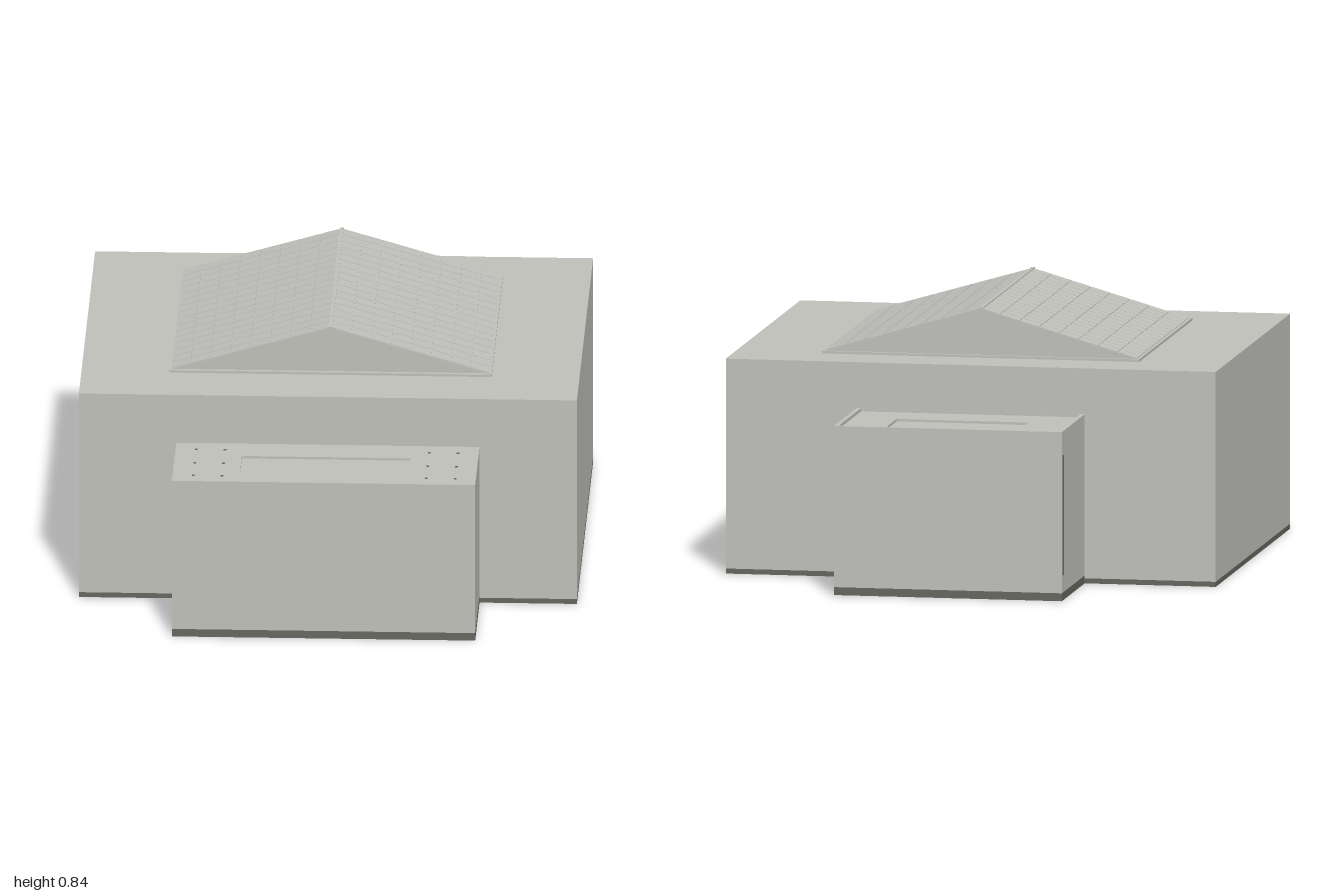
import * as THREE from 'three';

const wall = new THREE.MeshStandardMaterial({ color: 0xbfc0ba });
wall.name = 'pale grey';
const base = new THREE.MeshStandardMaterial({ color: 0x66665f });
base.name = 'dark grey';

// Box given by its limits on each axis
function block(parent, name, [x0, x1], [y0, y1], [z0, z1], material = wall) {
  const mesh = new THREE.Mesh(new THREE.BoxGeometry(x1 - x0, y1 - y0, z1 - z0), material);
  mesh.position.set((x0 + x1) / 2, (y0 + y1) / 2, (z0 + z1) / 2);
  mesh.name = name;
  parent.add(mesh);
  return mesh;
}

// Flat slab with a rectangular opening, lying on y
function openSlab(parent, name, x, z, hx, hz, y, thickness) {
  const rect = (Type, a, b) => {
    const s = new Type();
    s.moveTo(-a, -b[1]).lineTo(a, -b[1]).lineTo(a, -b[0]).lineTo(-a, -b[0]).closePath();
    return s;
  };
  const shape = rect(THREE.Shape, x, z);
  shape.holes.push(rect(THREE.Path, hx, hz));
  const geo = new THREE.ExtrudeGeometry(shape, { depth: thickness, bevelEnabled: false });
  geo.rotateX(-Math.PI / 2);
  const mesh = new THREE.Mesh(geo, wall);
  mesh.position.y = y;
  mesh.name = name;
  parent.add(mesh);
}

// Low wing with a plinth and a shallow tray sunk into its top
function wing(name, half, z, height, plinth, tray) {
  const g = new THREE.Group();
  g.name = name;
  const lid = 0.008;
  block(g, name + 'Plinth', [-half, half], [0, plinth], z, base);
  block(g, name + 'Walls', [-half, half], [plinth, height - lid], z);
  openSlab(g, name + 'Top', half, z, tray.half, tray.z, height - lid, lid);
  return g;
}

export function createModel() {
  const model = new THREE.Group();
  model.name = 'building';

  // Main hall
  const hall = new THREE.Group();
  hall.name = 'mainHall';
  block(hall, 'hallPlinth', [-0.78, 0.78], [0, 0.016], [-0.61, 0.66], base);
  block(hall, 'hallWalls', [-0.78, 0.78], [0.016, 0.68], [-0.61, 0.66]);
  model.add(hall);

  // Front and back wings
  const front = wing('frontWing', 0.475, [0.66, 1], 0.52, 0.025, { half: 0.265, z: [0.77, 0.91] });
  const back = wing('backWing', 0.363, [-1, -0.61], 0.525, 0.025, { half: 0.21, z: [-0.92, -0.75] });
  model.add(front, back);

  // Rim around the back wing's top
  openSlab(back, 'backRim', 0.363, [-1, -0.61], 0.349, [-0.986, -0.611], 0.525, 0.01);
  // Narrow upright seam on the back wing's right side
  block(back, 'sideSeam', [-0.365, -0.36], [0.08, 0.46], [-0.985, -0.978], base);

  // Bolts near the corners of the front wing's top
  for (const sx of [-1, 1]) for (const x of [0.32, 0.41]) for (const z of [0.72, 0.84, 0.95]) {
    block(front, 'bolt', [sx * x - 0.004, sx * x + 0.004], [0.52, 0.522], [z - 0.004, z + 0.004], base);
  }

  // Gabled skylight on the hall roof
  const roof = new THREE.Group();
  roof.name = 'skylight';
  block(roof, 'skylightCurb', [-0.505, 0.505], [0.68, 0.688], [-0.445, 0.462]);
  const eave = 0.498, low = 0.688, ridge = 0.833;
  const gable = new THREE.Shape();
  gable.moveTo(-eave, low).lineTo(eave, low).lineTo(0, ridge).closePath();
  const prism = new THREE.Mesh(
    new THREE.ExtrudeGeometry(gable, { depth: 0.885, bevelEnabled: false }), wall);
  prism.position.z = -0.435;
  prism.name = 'gabledRoof';
  roof.add(prism);

  // Rows of thin panes on both slopes
  const slope = Math.hypot(eave, ridge - low);
  const tilt = Math.atan2(ridge - low, eave);
  const rows = 8, columns = 16;
  for (const side of [-1, 1]) {
    const panes = new THREE.Group();
    panes.name = side < 0 ? 'rightPanes' : 'leftPanes';
    panes.position.set(side * eave / 2, (low + ridge) / 2, 0.0075);
    panes.rotation.z = -side * tilt;
    const w = slope / rows, d = 0.885 / columns;
    for (let i = 0; i < rows; i++) for (let j = 0; j < columns; j++) {
      const x = (i + 0.5) * w - slope / 2, z = (j + 0.5) * d - 0.4425;
      block(panes, 'pane', [x - w * 0.46, x + w * 0.46], [-0.001, 0.002], [z - d * 0.46, z + d * 0.46]);
    }
    roof.add(panes);
  }
  block(roof, 'ridgeCap', [-0.006, 0.006], [0.829, 0.837], [-0.435, 0.455]);
  model.add(roof);

  return model;
}
